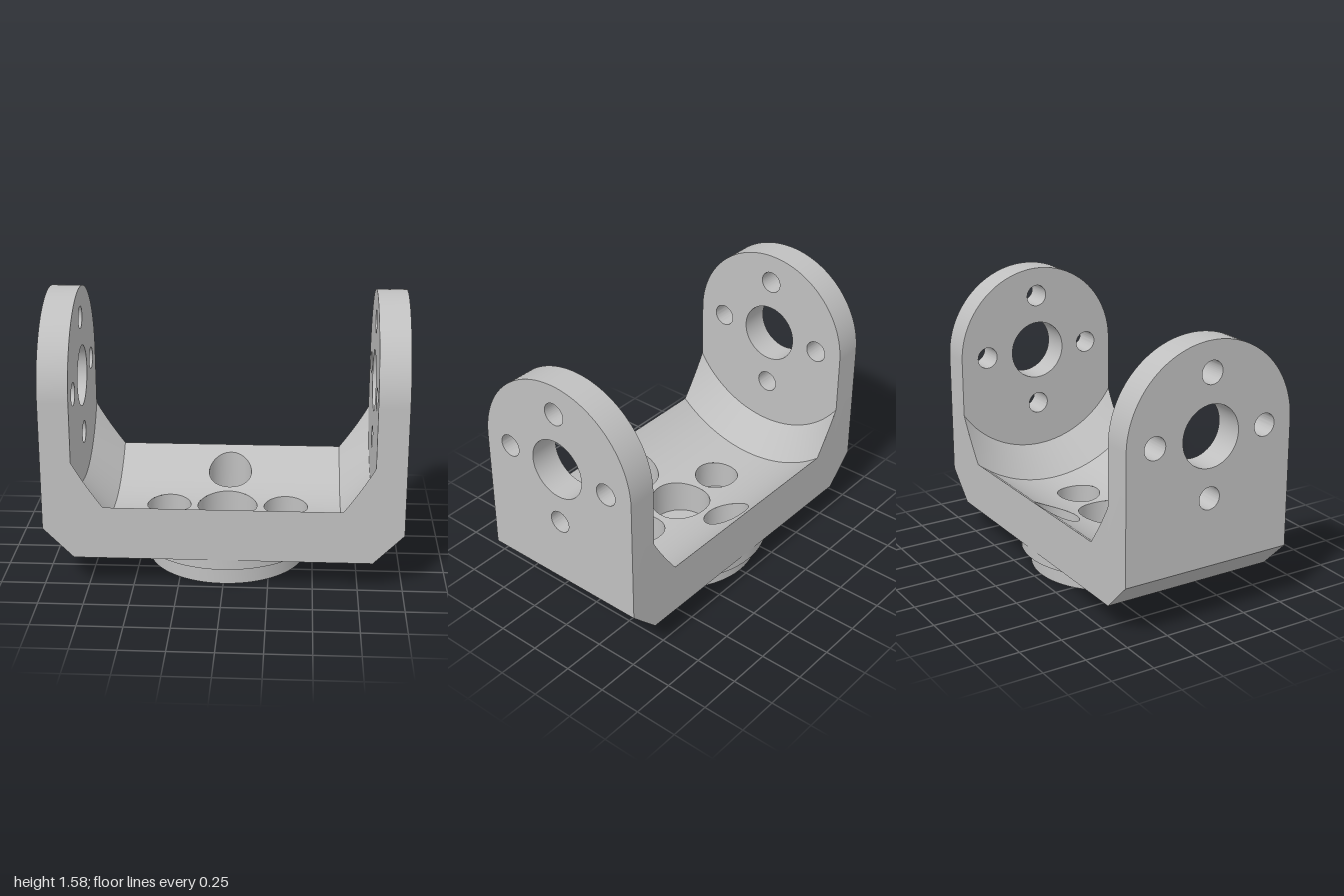
import * as THREE from 'three';
import { mergeGeometries, mergeVertices, toCreasedNormals } from 'three/addons/utils/BufferGeometryUtils.js';

const D = 0.513;              // half depth
const PIVOT = 1.07;           // height of the pivot axis
const WALL = 0.83;            // inner face of the arms
const FLOOR = 0.66;           // half length of the trough floor
const R_ARM = 0.613, R_FLOOR = 0.787;
const BOTTOM = 0.17;          // underside of the yoke
const BORE = 0.174, BOLT = 0.064, COUNTERBORE = 0.128, RING = 0.342;
const COUNTERBORE_Y = 0.11;
const BOLTS = [[RING, 0], [0, RING], [-RING, 0], [0, -RING]];

// Trough height: cylinder around the pivot axis with a conical chamfer at each end
function troughY(x, z) {
  const r = R_FLOOR - Math.max(0, Math.abs(x) - FLOOR) * (R_FLOOR - R_ARM) / (WALL - FLOOR);
  return PIVOT - Math.sqrt(r * r - z * z);
}

// Surface from a rule fn(u, v) -> [x, y, z]; it faces along du x dv
function surface(fn, nu, nv) {
  const pos = [], idx = [];
  for (let j = 0; j <= nv; j++)
    for (let i = 0; i <= nu; i++) pos.push(...fn(i / nu, j / nv));
  for (let j = 0; j < nv; j++)
    for (let i = 0; i < nu; i++) {
      const a = j * (nu + 1) + i, b = a + 1, d = a + nu + 1, c = d + 1;
      idx.push(a, b, c, a, c, d);
    }
  const g = new THREE.BufferGeometry();
  g.setAttribute('position', new THREE.Float32BufferAttribute(pos, 3));
  g.setIndex(idx);
  return g;
}

function smooth(geometry) {
  const g = mergeVertices(geometry, 1e-4);
  g.computeVertexNormals();
  return g;
}

function addHoles(shape, cy) {
  for (const [x, y, r] of [[0, 0, BORE], ...BOLTS.map(([x, y]) => [x, y, BOLT])])
    shape.holes.push(new THREE.Path().absarc(x, cy + y, r, 0, Math.PI * 2, true));
  return shape;
}

// Curved floor: a grid of cells, where five cells blend from a circle to a rectangle
function floorGeometry() {
  const xs = [-FLOOR, -0.489, -0.195, 0.195, 0.489, FLOOR];
  const zs = [-D, -0.489, -0.195, 0.195, 0.489, D];
  const N = 12, cells = [];
  for (let i = 0; i < 5; i++)
    for (let j = 0; j < 5; j++) {
      const cx = (xs[i] + xs[i + 1]) / 2, hx = (xs[i + 1] - xs[i]) / 2;
      const cz = (zs[j] + zs[j + 1]) / 2, hz = (zs[j + 1] - zs[j]) / 2;
      const away = Math.abs(i - 2) + Math.abs(j - 2);
      if (away > 1) {
        cells.push(surface((u, v) => {
          const x = cx + hx * (2 * v - 1), z = cz + hz * (2 * u - 1);
          return [x, troughY(x, z), z];
        }, N, N));
        continue;
      }
      const r = away ? COUNTERBORE : BORE;
      cells.push(surface((u, v) => {
        const side = Math.min(3, Math.floor(u * 4 + 1e-9)), s = 2 * (u * 4 - side) - 1;
        const [px, pz] = [[1, s], [-s, 1], [-1, -s], [s, -1]][side];
        const ex = px * hx, ez = pz * hz, k = r / Math.hypot(ex, ez);
        const f = k + (1 - k) * v, x = cx + ex * f, z = cz + ez * f;
        return [x, troughY(x, z), z];
      }, 4 * N, 4));
    }
  return smooth(mergeGeometries(cells));
}

// Inward-facing wall of a vertical hole
function holeWall(cx, cz, r, y0, top) {
  return smooth(surface((u, v) => {
    const a = u * Math.PI * 2, x = cx + r * Math.cos(a), z = cz + r * Math.sin(a);
    return [x, y0 + (top(x, z) - y0) * v, z];
  }, 48, 1));
}

export function createModel() {
  const group = new THREE.Group();
  const metal = new THREE.MeshStandardMaterial({ color: 0xc0c0c0 });
  metal.name = 'light grey metal';
  const add = (name, geometry) => {
    const mesh = new THREE.Mesh(geometry, metal);
    mesh.name = name;
    group.add(mesh);
    return mesh;
  };

  // Arms with rounded tops and bolt circles
  const arm = new THREE.Shape();
  arm.moveTo(-D, 0.34).lineTo(D, 0.34).lineTo(D, PIVOT);
  arm.absarc(0, PIVOT, D, 0, Math.PI, false);
  arm.closePath();
  addHoles(arm, PIVOT);
  const armGeometry = toCreasedNormals(
    new THREE.ExtrudeGeometry(arm, { depth: 1 - WALL, bevelEnabled: false, curveSegments: 40 }), 0.5);
  armGeometry.rotateY(Math.PI / 2);
  add('leftArm', armGeometry).position.x = WALL;
  add('rightArm', armGeometry).position.x = -1;

  // Front and back faces of the yoke base
  const face = new THREE.Shape();
  face.moveTo(-WALL, BOTTOM).lineTo(WALL, BOTTOM).lineTo(1, 0.34).lineTo(WALL, 0.34);
  for (const s of [1, -1])
    for (let i = 0; i <= 10; i++) {
      const t = s > 0 ? i / 10 : 1 - i / 10;
      const x = s * (WALL + (FLOOR - WALL) * t);
      face.lineTo(x, troughY(x, D));
    }
  face.lineTo(-WALL, 0.34).lineTo(-1, 0.34).closePath();
  const faceGeometry = new THREE.ShapeGeometry(face);
  add('baseFront', faceGeometry).position.z = D;
  const back = add('baseBack', faceGeometry);
  back.position.z = -D;
  back.rotation.y = Math.PI;

  // Underside with chamfered ends
  const under = new THREE.Shape();
  under.moveTo(-WALL, -D).lineTo(WALL, -D).lineTo(WALL, D).lineTo(-WALL, D).closePath();
  for (const [x, z, r] of [[0, 0, BORE], ...BOLTS.map(([x, z]) => [x, z, COUNTERBORE])])
    under.holes.push(new THREE.Path().absarc(x, z, r, 0, Math.PI * 2, true));
  add('underside', new THREE.ShapeGeometry(under, 24).rotateX(Math.PI / 2)).position.y = BOTTOM;
  for (const s of [1, -1]) {
    const end = s > 0 ? 'left' : 'right';
    add(end + 'LowerChamfer', smooth(surface((u, v) =>
      [s * (WALL + (1 - WALL) * v), BOTTOM + 0.17 * v, -s * D * (2 * u - 1)], 1, 1)));
    // Conical transition from floor to arm
    add(end + 'TroughCone', smooth(surface((u, v) => {
      const x = s > 0 ? FLOOR + (WALL - FLOOR) * v : -WALL + (WALL - FLOOR) * v;
      const z = D * (2 * u - 1);
      return [x, troughY(x, z), z];
    }, 60, 6)));
  }

  // Trough floor and its holes
  add('troughFloor', floorGeometry());
  add('centreBore', holeWall(0, 0, BORE, 0, troughY));
  for (const [x, z] of BOLTS) {
    add('counterbore', holeWall(x, z, COUNTERBORE, COUNTERBORE_Y, troughY));
    add('boltHole', holeWall(x, z, BOLT, 0, () => COUNTERBORE_Y));
    add('counterboreSeat', new THREE.RingGeometry(BOLT, COUNTERBORE, 48).rotateX(-Math.PI / 2))
      .position.set(x, COUNTERBORE_Y, z);
  }

  // Round mounting flange with a stepped rim
  const rim = [[0.455, 0], [0.455, 0.1], [0.47, 0.106], [0.47, 0.112], [D, 0.112], [D, BOTTOM]];
  add('flange', toCreasedNormals(
    new THREE.LatheGeometry(rim.map(([r, y]) => new THREE.Vector2(r, y)), 72), 0.4));
  const disc = addHoles(new THREE.Shape().absarc(0, 0, 0.455, 0, Math.PI * 2, false), 0);
  add('flangeFace', new THREE.ShapeGeometry(disc, 36).rotateX(Math.PI / 2));

  // Thin web closing the holes inside the flange
  add('flangeWeb', new THREE.CylinderGeometry(0.45, 0.45, 0.006, 48)).position.y = 0.085;
  return group;
}
